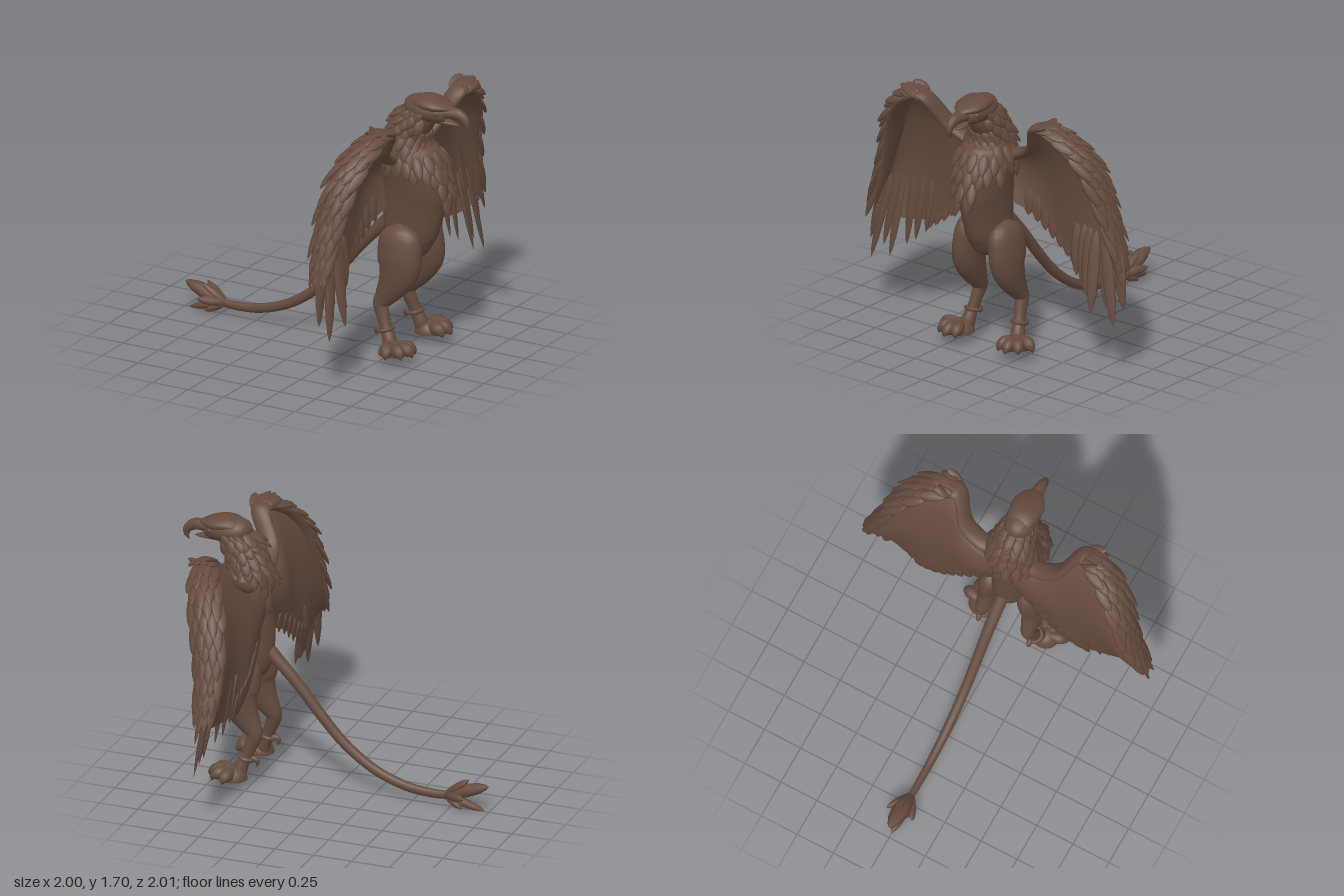
import * as THREE from 'three';

const V = (x, y, z) => new THREE.Vector3(x, y, z);
const brown = new THREE.MeshStandardMaterial({ color: 0x644a3e });
brown.name = 'brown';
const brownSheet = brown.clone();
brownSheet.side = THREE.DoubleSide;

// Moving frame along sections [x, y, z, radiusA, radiusB]
function spine(sections, ref) {
  const path = new THREE.CatmullRomCurve3(sections.map(s => V(s[0], s[1], s[2])), false, 'catmullrom');
  const radii = new THREE.CatmullRomCurve3(sections.map(s => V(s[3], s[4], 0)), false, 'catmullrom');
  return t => {
    const c = path.getPoint(t), T = path.getTangent(t), r = radii.getPoint(t);
    const A = ref.clone().addScaledVector(T, -T.dot(ref)).normalize();
    const B = T.clone().cross(A);
    return { c, T, A, B, ra: Math.max(r.x, 0.0005), rb: Math.max(r.y, 0.0005) };
  };
}

// Smooth skin of elliptical rings around a spine
function loft(parent, name, at, rings = 40, sides = 20) {
  const pos = [], index = [];
  for (let i = 0; i <= rings; i++) {
    const f = at(i / rings);
    for (let j = 0; j < sides; j++) {
      const q = j / sides * Math.PI * 2;
      const p = f.c.clone().addScaledVector(f.A, Math.cos(q) * f.ra).addScaledVector(f.B, Math.sin(q) * f.rb);
      pos.push(p.x, p.y, p.z);
      if (i === rings) continue;
      const a = i * sides + j, b = i * sides + (j + 1) % sides;
      index.push(a, b, a + sides, b, b + sides, a + sides);
    }
  }
  const g = new THREE.BufferGeometry();
  g.setAttribute('position', new THREE.Float32BufferAttribute(pos, 3));
  g.setIndex(index);
  g.computeVertexNormals();
  return add(parent, name, g);
}

function add(parent, name, geometry, material = brown) {
  const m = new THREE.Mesh(geometry, material);
  m.name = name;
  parent.add(m);
  return m;
}

// One leaf-shaped feather of length 1 along y and full width 1, reused everywhere
const leaf = new THREE.LatheGeometry(
  [[0, 0], [0.28, 0.06], [0.44, 0.25], [0.5, 0.5], [0.4, 0.75], [0.2, 0.92], [0, 1]].map(p => new THREE.Vector2(...p)), 8);

function feather(parent, name, base, dir, normal, length, width, thick) {
  const Y = dir.clone().normalize();
  const X = Y.clone().cross(normal).normalize();
  const Z = X.clone().cross(Y);
  const m = add(parent, name, leaf);
  m.quaternion.setFromRotationMatrix(new THREE.Matrix4().makeBasis(X, Y, Z));
  m.position.copy(base);
  m.scale.set(width, length, thick);
}

function group(parent, name) {
  const g = new THREE.Group();
  g.name = name;
  parent.add(g);
  return g;
}

const X_AXIS = V(1, 0, 0), Z_AXIS = V(0, 0, 1);

function buildBody(root) {
  const at = spine([
    [0.58, 0.63, 0, 0, 0], [0.59, 0.67, 0, 0.11, 0.08], [0.59, 0.76, 0, 0.165, 0.12], [0.6, 0.88, 0, 0.195, 0.125],
    [0.615, 1.0, 0, 0.21, 0.135], [0.63, 1.12, 0, 0.22, 0.15], [0.61, 1.25, 0, 0.2, 0.165], [0.585, 1.36, 0, 0.15, 0.145],
    [0.605, 1.47, 0, 0.11, 0.112], [0.66, 1.56, 0, 0.105, 0.098], [0.69, 1.63, 0, 0.08, 0.07],
  ], X_AXIS);
  loft(root, 'torso', at, 50, 28);
  // Ragged shingled ruff, ending in a point on the chest
  const ruff = group(root, 'ruff');
  for (let row = 0; row < 12; row++) {
    const f = at(0.92 - row * 0.04), count = 12 + Math.min(row, 4);
    for (let j = 0; j < count; j++) {
      const q = (j + (row % 2) / 2) / count * Math.PI * 2;
      const fromFront = Math.abs(Math.atan2(Math.sin(q), Math.cos(q)));
      if (row < 2 && fromFront < 0.9) continue;
      if (row > 7 && fromFront > 1.5 - (row - 7) * 0.32) continue;
      const n = f.A.clone().multiplyScalar(Math.cos(q) / f.ra).addScaledVector(f.B, Math.sin(q) / f.rb).normalize();
      const p = f.c.clone().addScaledVector(f.A, Math.cos(q) * f.ra).addScaledVector(f.B, Math.sin(q) * f.rb);
      const ragged = Math.sin(j * 5.3 + row * 2.1);
      const dir = f.T.clone().negate().addScaledVector(n, (row < 6 ? 0.42 : 0.28) + ragged * 0.1);
      feather(ruff, 'ruffFeather', p, dir, n, 0.1 + Math.min(row, 5) * 0.006 + ragged * 0.015, 0.066, 0.028);
    }
  }
}

function buildHead(root) {
  const head = group(root, 'head');
  loft(head, 'skull', spine([[0.55, 1.58, 0, 0, 0], [0.59, 1.595, 0, 0.07, 0.07], [0.66, 1.605, 0, 0.098, 0.085],
    [0.74, 1.605, 0, 0.096, 0.08], [0.8, 1.595, 0, 0.078, 0.068], [0.85, 1.59, 0, 0.045, 0.05]], Z_AXIS));
  loft(head, 'crown', spine([[0.575, 1.635, 0, 0, 0], [0.63, 1.643, 0, 0.072, 0.035], [0.7, 1.65, 0, 0.096, 0.05],
    [0.78, 1.645, 0, 0.098, 0.042], [0.84, 1.64, 0, 0.07, 0.025], [0.89, 1.63, 0, 0.02, 0.01]], Z_AXIS));
  loft(head, 'upperBeak', spine([[0.8, 1.6, 0, 0.058, 0.045], [0.87, 1.608, 0, 0.045, 0.037], [0.93, 1.602, 0, 0.033, 0.036],
    [0.972, 1.57, 0, 0.024, 0.028], [0.98, 1.53, 0, 0.013, 0.018], [0.96, 1.495, 0, 0, 0]], Z_AXIS), 30, 14);
  loft(head, 'lowerBeak', spine([[0.76, 1.555, 0, 0.055, 0.03], [0.83, 1.545, 0, 0.04, 0.02], [0.89, 1.538, 0, 0.025, 0.012],
    [0.93, 1.532, 0, 0, 0]], Z_AXIS), 16, 12);
  for (const s of [1, -1]) {
    const eye = add(head, 'eye', new THREE.SphereGeometry(0.016, 12, 8));
    eye.position.set(0.8, 1.605, s * 0.068);
    // Cheek feathers
    for (let i = 0; i < 6; i++) {
      feather(head, 'cheekFeather', V(0.72 - (i % 3) * 0.045, 1.6 - Math.floor(i / 3) * 0.06, s * 0.088),
        V(-0.7, -0.7, s * 0.2), V(0, 0, s), 0.09, 0.05, 0.022);
    }
  }
}

function buildWing(root, s) {
  const wing = group(root, s > 0 ? 'rightWing' : 'leftWing');
  const m = p => [p[0], p[1], p[2] * s, ...p.slice(3)];
  const curve = pts => new THREE.CatmullRomCurve3(pts.map(p => V(p[0], p[1], p[2] * s)), false, 'catmullrom');

  // Curved web between the arm and the trailing edge
  const top = curve([[0.53, 1.32, 0.06], [0.53, 1.33, 0.21], [0.56, 1.41, 0.32], [0.62, 1.54, 0.4], [0.62, 1.56, 0.5],
    [0.57, 1.47, 0.64], [0.53, 1.33, 0.74], [0.5, 1.15, 0.81], [0.49, 0.95, 0.87], [0.51, 0.78, 0.92]]);
  const bottom = curve([[0.49, 0.96, 0.05], [0.45, 0.91, 0.19], [0.43, 0.84, 0.3], [0.42, 0.76, 0.41], [0.43, 0.69, 0.52],
    [0.45, 0.65, 0.61], [0.47, 0.64, 0.7], [0.49, 0.64, 0.78], [0.51, 0.66, 0.86], [0.52, 0.7, 0.94]]);
  const web = new THREE.PlaneGeometry(1, 1, 40, 14), wp = web.attributes.position;
  for (let i = 0; i < wp.count; i++) {
    const u = wp.getX(i) + 0.5, v = 0.5 - wp.getY(i);
    const p = top.getPoint(u).lerp(bottom.getPoint(u), v);
    wp.setXYZ(i, p.x - 0.08 * Math.sin(Math.PI * Math.pow(v, 0.7)), p.y, p.z);
  }
  web.computeVertexNormals();
  add(wing, 'wingWeb', web, brownSheet);

  // Broad arm along the leading edge, narrowing to the tip
  const at = spine([[0.54, 1.29, 0.12, 0.06, 0.05], [0.54, 1.32, 0.22, 0.06, 0.035], [0.57, 1.4, 0.33, 0.06, 0.03],
    [0.655, 1.545, 0.405, 0.06, 0.03], [0.665, 1.575, 0.47, 0.07, 0.03], [0.62, 1.5, 0.61, 0.095, 0.035],
    [0.56, 1.36, 0.72, 0.1, 0.035], [0.52, 1.18, 0.79, 0.085, 0.03], [0.5, 0.98, 0.855, 0.065, 0.024],
    [0.505, 0.8, 0.905, 0.045, 0.018], [0.52, 0.66, 0.94, 0, 0]].map(m), X_AXIS);
  loft(wing, 'wingArm', at, 50, 16);

  // Overlapping pointed coverts on the outer face of the arm
  const rows = 13;
  for (let i = 0; i < rows; i++) {
    const k = i / (rows - 1), f = at(0.34 + k * 0.48);
    const N = f.B.clone();
    if (N.dot(V(0, 0.5, s)) < 0) N.negate();
    for (let j = 0; j < 4; j++) {
      const off = (j - 1.5 + (i % 2 ? 0.22 : -0.22)) / 1.85;
      const p = f.c.clone().addScaledVector(f.A, off * f.ra).addScaledVector(N, f.rb * Math.sqrt(1 - off * off) * 0.85);
      const dir = f.T.clone().addScaledVector(N, 0.12).addScaledVector(f.A, off * 0.1 * (1 - k));
      const n = N.clone().addScaledVector(f.A, off * 0.8).normalize();
      feather(wing, 'covert', p, dir, n, 0.13 + 0.15 * k + 0.02 * Math.sin(i * 4 + j * 2.3), 0.074 - 0.012 * k, 0.028);
    }
  }

  // Long flight feathers, root to tip
  const flight = [[0.5, 0.98, 0.88, 0.53, 0.6, 0.998], [0.48, 0.95, 0.88, 0.51, 0.46, 0.975], [0.5, 0.92, 0.82, 0.56, 0.36, 0.935],
    [0.47, 0.92, 0.79, 0.53, 0.45, 0.86], [0.48, 0.92, 0.74, 0.58, 0.41, 0.775], [0.46, 0.92, 0.68, 0.52, 0.49, 0.69],
    [0.44, 0.92, 0.62, 0.49, 0.52, 0.645], [0.43, 0.92, 0.56, 0.47, 0.58, 0.58]];
  for (const q of flight) {
    const a = V(q[0], q[1], q[2] * s), d = V(q[3], q[4], q[5] * s).sub(a);
    feather(wing, 'flightFeather', a, d, V(1, 0, s * 0.4), d.length(), 0.08, 0.03);
  }
  // Short feathers scalloping the inner trailing edge
  for (let i = 0; i < 8; i++) {
    const p = bottom.getPoint(0.1 + i * 0.055).add(V(0, 0.12, 0));
    p.x -= 0.022;
    feather(wing, 'secondaryFeather', p, V(0.15, -1, s * 0.15), X_AXIS, 0.16 + i * 0.006, 0.08, 0.018);
  }
}

function buildLeg(root, s) {
  const leg = group(root, s > 0 ? 'rightLeg' : 'leftLeg');
  const limb = (name, pts, ref, rings, sides) =>
    loft(leg, name, spine(pts.map(p => [p[0], p[1], p[2] * s, p[3], p[4]]), ref), rings, sides);
  limb('thighAndShin', [[0.58, 0.88, 0.1, 0, 0], [0.585, 0.81, 0.122, 0.125, 0.074], [0.59, 0.68, 0.138, 0.148, 0.088],
    [0.59, 0.58, 0.148, 0.135, 0.08], [0.55, 0.48, 0.152, 0.1, 0.067], [0.5, 0.4, 0.155, 0.07, 0.052],
    [0.47, 0.345, 0.16, 0.05, 0.043], [0.49, 0.28, 0.168, 0.043, 0.037], [0.52, 0.2, 0.18, 0.037, 0.035],
    [0.55, 0.13, 0.19, 0.045, 0.045], [0.56, 0.07, 0.2, 0.045, 0.045]], X_AXIS, 44, 20);
  // Ankle cuff and spur
  const cuff = add(leg, 'ankleCuff', new THREE.TorusGeometry(0.046, 0.013, 8, 24));
  cuff.position.set(0.515, 0.195, s * 0.178);
  cuff.rotation.set(Math.PI / 2, 0.25, 0);
  limb('spur', [[0.49, 0.19, 0.175, 0.02, 0.02], [0.455, 0.185, 0.175, 0.017, 0.017], [0.445, 0.16, 0.175, 0.01, 0.01],
    [0.46, 0.138, 0.175, 0, 0]], Z_AXIS, 12, 8);
  // Foot pad and toes
  const pad = add(leg, 'footPad', new THREE.SphereGeometry(1, 20, 12, 0, Math.PI * 2, 0, Math.PI / 2));
  pad.scale.set(0.085, 0.085, 0.085);
  pad.position.set(0.585, 0.06, s * 0.22);
  const sole = add(leg, 'sole', new THREE.CylinderGeometry(0.085, 0.085, 0.008, 20));
  sole.position.set(0.585, 0.064, s * 0.22);
  for (const [x, z] of [[0.715, 0.165], [0.735, 0.235], [0.695, 0.305], [0.61, 0.35]]) {
    const along = (k, y, r, h) => [0.575 + (x - 0.575) * k, y, 0.215 + (z - 0.215) * k, r, h];
    limb('toe', [along(0.1, 0.1, 0.03, 0.035), along(0.42, 0.105, 0.036, 0.042), along(0.72, 0.104, 0.04, 0.043),
      along(0.93, 0.085, 0.024, 0.025), along(1, 0.062, 0, 0)], x < 0.65 ? X_AXIS : Z_AXIS, 16, 12);
  }
}

function buildTail(root) {
  const tail = group(root, 'tail');
  loft(tail, 'tailShaft', spine([[0.52, 0.91, 0, 0.05, 0.06], [0.41, 0.815, 0, 0.042, 0.043], [0.25, 0.65, 0, 0.036, 0.036],
    [0.1, 0.47, 0, 0.033, 0.034], [-0.06, 0.3, 0, 0.031, 0.032], [-0.25, 0.165, 0, 0.029, 0.031], [-0.45, 0.09, 0, 0.026, 0.03],
    [-0.62, 0.07, 0, 0.023, 0.029], [-0.76, 0.075, 0, 0.02, 0.025]], Z_AXIS), 50, 16);
  // Tuft of leaf-shaped feathers: tip, width, thickness
  const base = V(-0.71, 0.075, 0);
  for (const [x, y, z, w, h] of [[-1, 0.17, 0, 0.115, 0.085], [-0.97, 0.005, 0, 0.07, 0.05],
    [-0.86, 0.185, 0.03, 0.06, 0.045], [-0.86, 0.185, -0.03, 0.06, 0.045], [-0.87, 0.1, 0.09, 0.06, 0.05],
    [-0.87, 0.1, -0.09, 0.06, 0.05], [-0.84, 0.01, 0.04, 0.05, 0.045], [-0.84, 0.01, -0.04, 0.05, 0.045]]) {
    const d = V(x, y, z).sub(base);
    feather(tail, 'tuftFeather', base, d, V(0, y - 0.065, z), d.length(), w, h);
  }
}

export function createModel() {
  const root = new THREE.Group();
  root.name = 'wingedCreature';
  buildBody(root);
  buildHead(root);
  buildTail(root);
  for (const s of [1, -1]) {
    buildWing(root, s);
    buildLeg(root, s);
  }
  return root;
}
